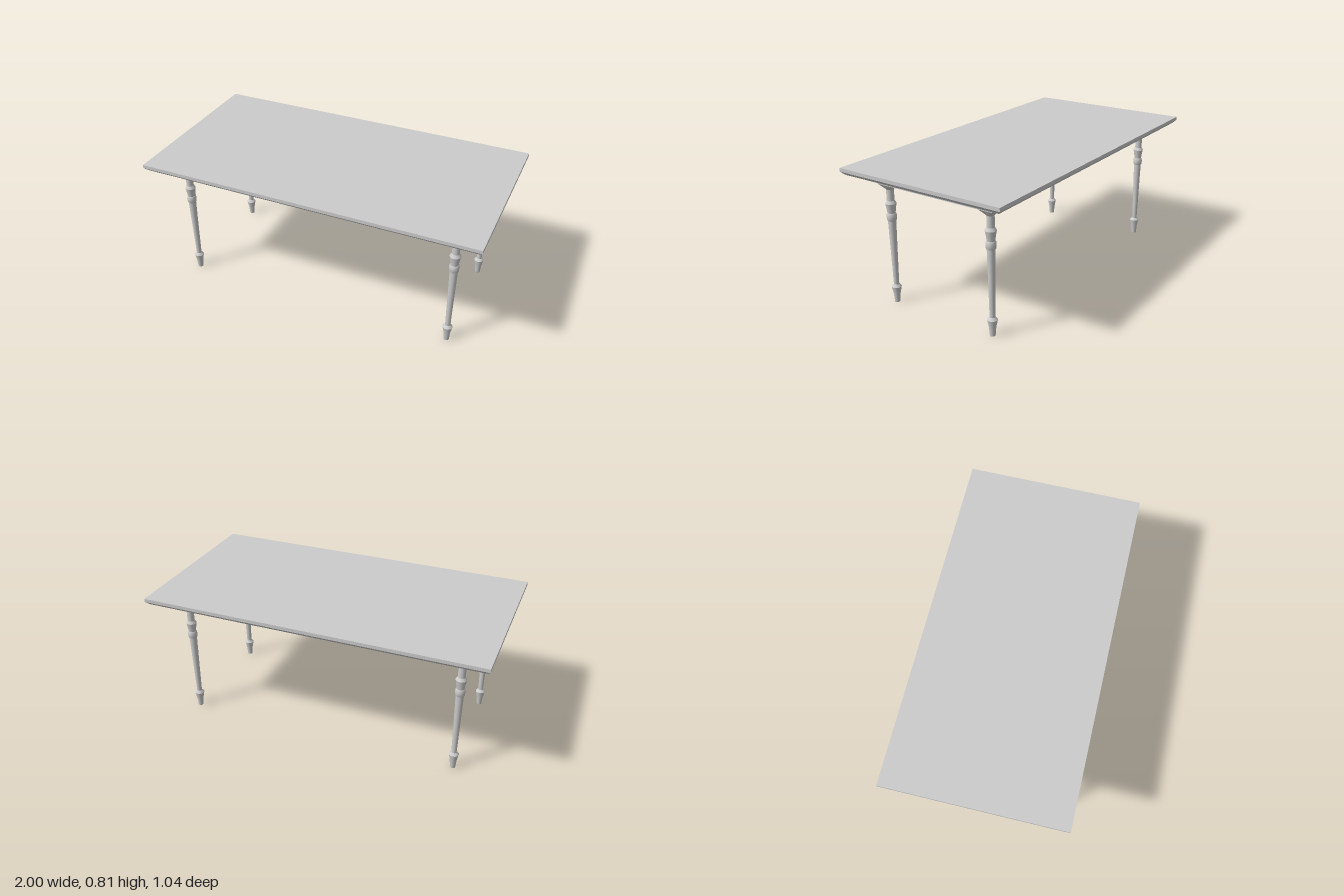
import * as THREE from 'three';

const material = new THREE.MeshStandardMaterial({ color: 0xcccccc });
const flatMaterial = new THREE.MeshStandardMaterial({ color: 0xcccccc, flatShading: true });

function addMesh(parent, name, geometry, mat = material) {
  const mesh = new THREE.Mesh(geometry, mat);
  mesh.name = name;
  parent.add(mesh);
  return mesh;
}

// Rectangle outline, used for both the apron and its opening
function rectangle(PathType, hx, hz) {
  return new PathType([[-hx, -hz], [hx, -hz], [hx, hz], [-hx, hz]].map(([x, y]) => new THREE.Vector2(x, y)));
}

// Capital that blends from a round neck to a square top
function capitalGeometry(neck, half, y0, y1) {
  const n = 24;
  const geometry = new THREE.CylinderGeometry(1, 1, y1 - y0, n, 1);
  geometry.translate(0, (y0 + y1) / 2, 0);
  const p = geometry.attributes.position;
  for (let i = 0; i < p.count; i++) {
    const x = p.getX(i), z = p.getZ(i);
    const reach = Math.max(Math.abs(x), Math.abs(z));
    const s = reach < 1e-6 ? 0 : p.getY(i) > (y0 + y1) / 2 ? half / reach : neck;
    p.setXYZ(i, x * s, p.getY(i), z * s);
  }
  return geometry;
}

// Sections of the turned leg, each [radius, y]; breaks keep the rings crisp
const legSections = {
  foot: [[0, 0], [0.015, 0], [0.0155, 0.002], [0.0195, 0.05], [0.0285, 0.095]],
  footShoulder: [[0.0285, 0.095], [0.016, 0.11]],
  shaft: [[0.015, 0.107], [0.0185, 0.3], [0.0225, 0.496]],
  bead: [[0.0225, 0.496], [0.0265, 0.5], [0.0285, 0.518], [0.0265, 0.535], [0.022, 0.541]],
  vase: [[0.022, 0.54], [0.025, 0.565], [0.031, 0.597]],
  vaseShoulder: [[0.031, 0.597], [0.021, 0.614]],
  neck: [[0.021, 0.613], [0.021, 0.68]],
};

function createLeg() {
  const leg = new THREE.Group();
  for (const [name, points] of Object.entries(legSections)) {
    const profile = points.map(([r, y]) => new THREE.Vector2(r, y));
    addMesh(leg, name, new THREE.LatheGeometry(profile, 24));
  }
  addMesh(leg, 'capital', capitalGeometry(0.021, 0.043, 0.678, 0.711), flatMaterial);
  return leg;
}

export function createModel() {
  const table = new THREE.Group();
  table.name = 'diningTable';

  // Top: square-edged slab over a chamfered underside
  const slab = addMesh(table, 'tabletop', new THREE.BoxGeometry(2, 0.02, 1.04));
  slab.position.y = 0.8;
  const chamfer = new THREE.BoxGeometry(2, 0.02, 1.04);
  const p = chamfer.attributes.position;
  for (let i = 0; i < p.count; i++) {
    if (p.getY(i) < 0) p.setXYZ(i, Math.sign(p.getX(i)) * 0.98, p.getY(i), Math.sign(p.getZ(i)) * 0.5);
  }
  addMesh(table, 'tabletopChamfer', chamfer, flatMaterial).position.y = 0.78;

  // Apron: hollow rectangular frame under the top
  const frame = rectangle(THREE.Shape, 0.87, 0.38);
  frame.holes.push(rectangle(THREE.Path, 0.784, 0.294));
  const apronGeometry = new THREE.ExtrudeGeometry(frame, { depth: 0.06, bevelEnabled: false });
  apronGeometry.rotateX(-Math.PI / 2);
  addMesh(table, 'apron', apronGeometry).position.y = 0.711;

  // Four turned legs
  for (const x of [-1, 1]) {
    for (const z of [-1, 1]) {
      const leg = createLeg();
      leg.name = (z > 0 ? 'front' : 'back') + (x > 0 ? 'Left' : 'Right') + 'Leg';
      leg.position.set(x * 0.826, 0, z * 0.336);
      table.add(leg);
    }
  }
  return table;
}
